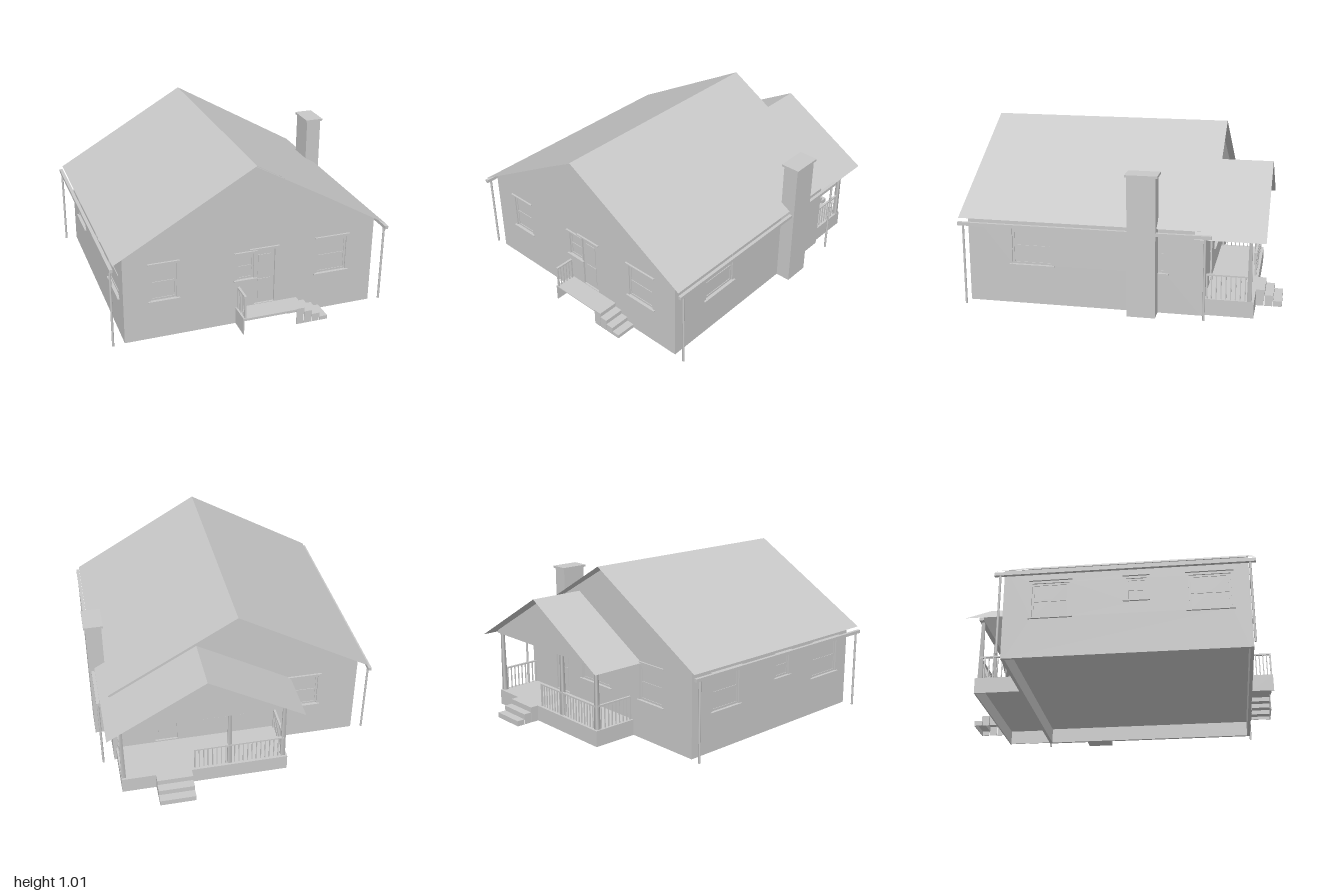
import * as THREE from 'three';

export function createModel() {
  const house = new THREE.Group();
  house.name = 'house';
  const grey = new THREE.MeshStandardMaterial({ color: 0xc8c8c8, side: THREE.DoubleSide });
  grey.name = 'plain grey';

  // Box given by its minimum and maximum corners
  function box(name, x0, x1, y0, y1, z0, z1, parent = house) {
    const m = new THREE.Mesh(new THREE.BoxGeometry(x1 - x0, y1 - y0, z1 - z0), grey);
    m.position.set((x0 + x1) / 2, (y0 + y1) / 2, (z0 + z1) / 2);
    m.name = name;
    parent.add(m);
  }

  // Outline in x and y with rectangular holes, extruded from z0 to z1
  function panel(name, points, z0, z1, holes = [], parent = house) {
    const shape = new THREE.Shape(points.map(p => new THREE.Vector2(...p)));
    for (const { a, b, y0, y1 } of holes) {
      shape.holes.push(new THREE.Path([[a, y0], [a, y1], [b, y1], [b, y0]].map(p => new THREE.Vector2(...p))));
    }
    const geo = new THREE.ExtrudeGeometry(shape, { depth: z1 - z0, bevelEnabled: false });
    const m = new THREE.Mesh(geo, grey);
    m.position.z = z0;
    m.name = name;
    parent.add(m);
  }

  // Two thin sheets meeting at a ridge
  function gableRoof(name, xl, xm, xr, eave, ridge, z0, z1) {
    for (const [side, x] of [['Right', xl], ['Left', xr]]) {
      const geo = new THREE.PlaneGeometry(Math.hypot(x - xm, ridge - eave), z1 - z0);
      geo.rotateX(-Math.PI / 2);
      geo.rotateZ(Math.atan((ridge - eave) / (xm - x)));
      const m = new THREE.Mesh(geo, grey);
      m.position.set((x + xm) / 2, (eave + ridge) / 2, (z0 + z1) / 2);
      m.name = name + side;
      house.add(m);
    }
  }

  // Recessed windows and doors, measured along their wall
  const win = (a, b, y0 = 0.247, y1 = 0.468) => ({ a, b, y0, y1 });
  const door = (a, b) => ({ a, b, y0: 0.108, y1: 0.46, door: true });
  const recess = -0.012;

  function fillOpening(g, { a, b, y0, y1, door: isDoor }) {
    box(isDoor ? 'doorLeaf' : 'pane', a, b, y0, y1, -0.018, recess, g);
    if (isDoor) {
      for (const [p0, p1] of [[0.14, 0.27], [0.3, 0.43]]) {
        box('doorPanel', a + 0.025, b - 0.025, p0, p1, recess, recess + 0.004, g);
      }
      box('doorHeader', a - 0.035, b + 0.022, 0.475, 0.482, 0, 0.012, g);
      return;
    }
    const mid = (y0 + y1) / 2;
    for (const x of [a, b - 0.012]) box('sashStile', x, x + 0.012, y0, y1, recess, recess + 0.004, g);
    for (const y of [y0, mid - 0.006, y1 - 0.012]) box('sashRail', a, b, y, y + 0.012, recess, recess + 0.004, g);
    box('sill', a - 0.018, b + 0.018, y0 - 0.008, y0, 0, 0.012, g);
    box('header', a - 0.018, b + 0.018, y1 + 0.014, y1 + 0.021, 0, 0.012, g);
  }

  // A wall built facing +z, then turned into place
  function wall(name, turn, x, z, outline, openings) {
    const g = new THREE.Group();
    g.name = name;
    g.rotation.y = turn;
    g.position.set(x, 0, z);
    house.add(g);
    panel('wallPanel', outline, -0.02, 0, openings, g);
    openings.forEach(o => fillOpening(g, o));
  }

  // Main walls run down to the ground around a raised floor
  const xr = -0.79, xl = 0.765, xm = -0.012, zb = -0.558, zf = 0.866;
  const gable = s => [[s * xr, 0], [s * xl, 0], [s * xl, 0.565], [s * xm, 0.998], [s * xr, 0.565]];
  const flank = (a, b) => [[a, 0], [b, 0], [b, 0.562], [a, 0.562]];
  wall('frontWall', 0, 0, zf, gable(1),
    [win(-0.628, -0.474), win(0.4, 0.59), win(-0.11, -0.004, 0.289, 0.449), door(0.002, 0.13)]);
  wall('backWall', Math.PI, 0, zb, gable(-1), [win(0.34, 0.54), win(-0.22, 0.06), door(-0.5, -0.36)]);
  wall('leftWall', Math.PI / 2, xl, 0, flank(-zf + 0.02, -zb - 0.02), [win(-0.596, -0.353), win(0.22, 0.33)]);
  wall('rightWall', -Math.PI / 2, xr, 0, flank(zb + 0.02, zf - 0.02),
    [win(-0.39, -0.17), win(0.16, 0.28, 0.328), win(0.52, 0.76)]);
  box('floor', xr + 0.01, xl - 0.01, 0.1, 0.107, zb + 0.01, zf - 0.01);
  gableRoof('mainRoof', -0.85, xm, 0.825, 0.532, 1.015, -0.6, 0.905);

  // Gutters and downspouts
  for (const [x0, x1] of [[-0.87, -0.85], [0.825, 0.845]]) {
    box('gutter', x0, x1, 0.492, 0.512, -0.6, 0.905);
    for (const z of [-0.565, 0.872]) {
      const pipe = new THREE.Mesh(new THREE.CylinderGeometry(0.007, 0.007, 0.495, 8), grey);
      pipe.position.set((x0 + x1) / 2, 0.2475, z);
      pipe.name = 'downspout';
      house.add(pipe);
    }
  }

  // Chimney
  box('chimneyStack', 0.76, 0.858, 0, 0.837, -0.285, -0.118);
  box('chimneyCap', 0.75, 0.868, 0.836, 0.85, -0.296, -0.108);

  // Railing between two points on a deck
  function railing(x0, z0, x1, z1, n) {
    const g = new THREE.Group();
    const len = Math.hypot(x1 - x0, z1 - z0);
    g.position.set(x0, 0.1, z0);
    g.rotation.y = -Math.atan2(z1 - z0, x1 - x0);
    g.name = 'railing';
    house.add(g);
    box('topRail', 0, len, 0.141, 0.15, -0.007, 0.007, g);
    for (let i = 0; i <= n; i++) {
      const x = 0.004 + (len - 0.008) * i / n;
      const r = i === 0 || i === n ? 0.005 : 0.003;
      box('baluster', x - r, x + r, 0, 0.142, -r, r, g);
    }
  }

  // Hollow steps going down along the group's +x
  function stairs(name, x, z, turn, count, run, top, drop, width) {
    const g = new THREE.Group();
    g.position.set(x, 0, z);
    g.rotation.y = turn;
    g.name = name;
    house.add(g);
    const t = 0.004;
    for (let i = 0; i < count; i++) {
      const x0 = i * run, x1 = x0 + run, y = top - drop * i;
      const below = i === count - 1 ? 0 : y - drop - t;
      box('tread', x0, x1, y - t, y, 0, width, g);
      box('riser', x1 - t, x1, below, y - t, 0, width, g);
      for (const s of [0, width - t]) box('stairSide', x0, x1 - t, 0, y - t, s, s + t, g);
    }
  }

  // Back porch, open underneath
  const p0 = -0.28, p1 = 0.748, pz = -0.845;
  box('porchDeck', p0, p1, 0.092, 0.1, pz, zb);
  box('porchSkirt', p0, p1, 0, 0.093, pz, pz + 0.008);
  for (const x of [p0, p1 - 0.008]) box('porchSkirt', x, x + 0.008, 0, 0.093, pz + 0.008, zb);
  gableRoof('porchRoof', -0.36, 0.23, 0.82, 0.48, 0.82, -0.908, -0.5);
  panel('porchGable', [[-0.3, 0.49], [0.76, 0.49], [0.76, 0.508], [0.23, 0.812], [-0.3, 0.508]], -0.835, -0.805);
  for (const x of [-0.255, 0.08, 0.733]) {
    const post = new THREE.Mesh(new THREE.CylinderGeometry(0.013, 0.019, 0.395, 4), grey);
    post.geometry.rotateY(Math.PI / 4);
    post.position.set(x, 0.2975, -0.818);
    post.name = 'porchPost';
    house.add(post);
  }
  railing(-0.255, -0.825, 0.3, -0.825, 20);
  for (const x of [-0.262, 0.733]) railing(x, -0.825, x, -0.565, 9);
  stairs('porchSteps', 0.32, pz, Math.PI / 2, 3, 0.0517, 0.1, 0.033, 0.22);

  // Front stoop with an end panel and side steps
  box('stoopDeck', -0.113, 0.225, 0.1, 0.105, zf, 1);
  box('stoopEndPanel', -0.113, -0.108, 0, 0.1, zf, 1);
  railing(-0.1, 0.875, -0.1, 0.995, 5);
  stairs('stoopSteps', 0.225, zf, 0, 4, 0.05, 0.105, 0.027, 0.129);
  return house;
}
